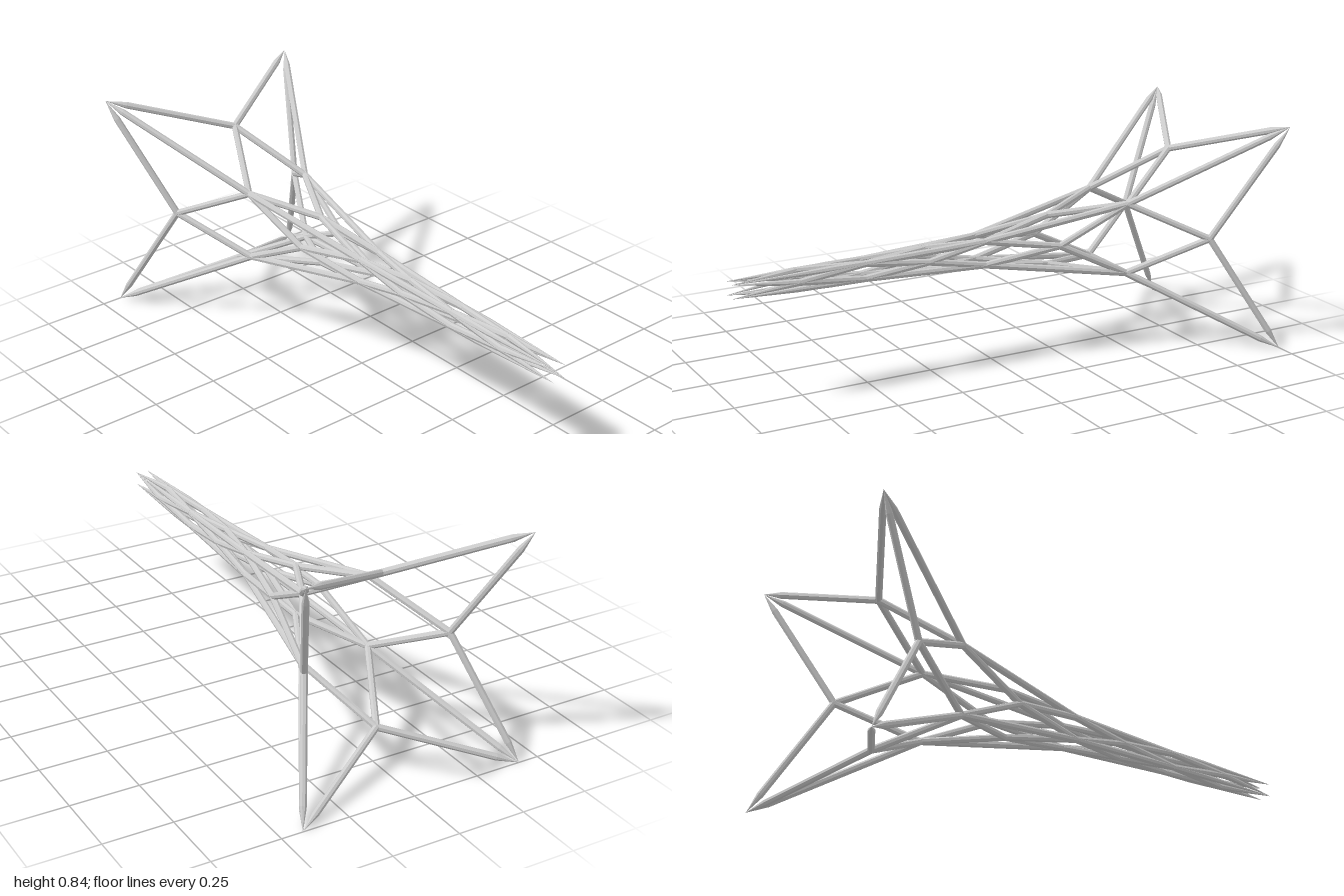
import * as THREE from 'three';

const CENTRE_Y = 0.4225;
const RADIUS = 0.0125;
const UP = new THREE.Vector3(0, 1, 0);

// Rings of four nodes: [z, distance from the axis]; even rings sit on the diagonals
const RINGS = [
  [-1, 0.5975], [-0.765, 0.283], [-0.5, 0.187], [-0.235, 0.094], [0.045, 0.062],
  [0.27, 0.04], [0.51, 0.038], [0.76, 0.033], [1, 0.035],
];

function node(ring, i) {
  const [z, r] = RINGS[ring];
  const a = (i + (ring % 2 ? 0 : 0.5)) * Math.PI / 2;
  return new THREE.Vector3(r * Math.cos(a), CENTRE_Y + r * Math.sin(a), z);
}

export function createModel() {
  const group = new THREE.Group();
  group.name = 'flaredLattice';
  const metal = new THREE.MeshStandardMaterial({ color: 0xcccccc });
  metal.name = 'light grey';

  // Round bar from a to b; a taper length turns that end into a point
  function strut(name, a, b, taperA = 0, taperB = 0) {
    const len = a.distanceTo(b);
    const profile = [
      new THREE.Vector2(0, 0),
      new THREE.Vector2(RADIUS, taperA),
      new THREE.Vector2(RADIUS, len - Math.min(taperB, len * 0.95)),
      new THREE.Vector2(0, len),
    ];
    const geometry = new THREE.LatheGeometry(profile, 8).toNonIndexed();
    geometry.computeVertexNormals();
    const mesh = new THREE.Mesh(geometry, metal);
    mesh.name = name;
    mesh.position.copy(a);
    mesh.quaternion.setFromUnitVectors(UP, b.clone().sub(a).normalize());
    group.add(mesh);
  }

  const last = RINGS.length - 1;
  const taperAt = (ring) => (ring === 0 ? 0.08 : ring === last ? 0.36 : 0);

  for (let ring = 0; ring < last; ring++) {
    for (let i = 0; i < 4; i++) {
      // Zigzag bars to the two nearest nodes of the next ring
      const side = ring % 2 ? -1 : 1;
      for (const j of [i, i + side]) {
        strut('zigzagStrut', node(ring, i), node(ring + 1, j), taperAt(ring), taperAt(ring + 1));
      }
      // Long bars along the four diagonals
      if (ring % 2 === 0) {
        strut('longStrut', node(ring, i), node(ring + 2, i), taperAt(ring), taperAt(ring + 2));
      }
    }
  }

  // Joints filling the inner nodes
  const ball = new THREE.IcosahedronGeometry(RADIUS, 1);
  for (let ring = 1; ring < last; ring++) {
    for (let i = 0; i < 4; i++) {
      const joint = new THREE.Mesh(ball, metal);
      joint.name = 'joint';
      joint.position.copy(node(ring, i));
      group.add(joint);
    }
  }
  return group;
}
